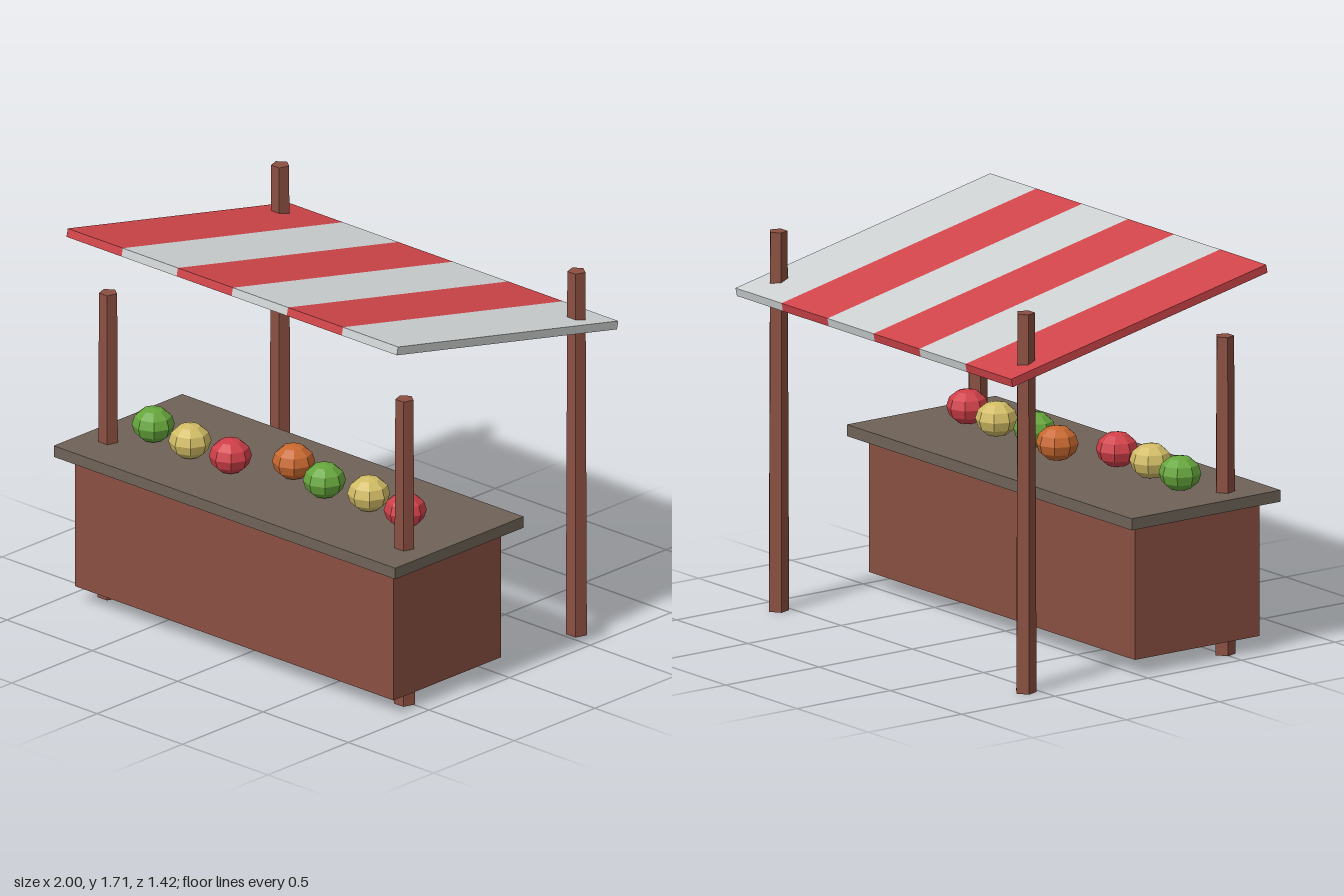
import * as THREE from 'three';

const paint = (name, color) => {
  const m = new THREE.MeshStandardMaterial({ color, flatShading: true });
  m.name = name;
  return m;
};

export function createModel() {
  const wood = paint('brown wood', 0x8a4f41);
  const slate = paint('countertop grey brown', 0x6f6358);
  const clothRed = paint('canopy red', 0xd0454a);
  const clothGrey = paint('canopy pale grey', 0xced2d2);
  const green = paint('fruit green', 0x66a63c);
  const yellow = paint('fruit yellow', 0xd2bc66);
  const red = paint('fruit red', 0xcf3f48);
  const orange = paint('fruit orange', 0xc8682f);

  const model = new THREE.Group();
  model.name = 'marketStall';
  const add = (name, geometry, material, x, y, z, parent = model) => {
    const mesh = new THREE.Mesh(geometry, material);
    mesh.name = name;
    mesh.position.set(x, y, z);
    parent.add(mesh);
    return mesh;
  };

  // Counter body and overhanging top
  add('counterBody', new THREE.BoxGeometry(1.865, 0.595, 0.668), wood, 0, 0.367, 0.314);
  add('countertop', new THREE.BoxGeometry(2, 0.051, 0.797), slate, 0, 0.69, 0.311);

  // Tapered five-sided posts, taller at the back, flat side to the front
  for (const [name, height, z] of [['front', 1.4, 0.51], ['back', 1.67, -0.557]]) {
    for (const side of [1, -1]) {
      const geometry = new THREE.CylinderGeometry(0.041, 0.0475, height, 5);
      const post = add(name + (side > 0 ? 'LeftPost' : 'RightPost'), geometry, wood, side * 0.868, height / 2, z);
      post.rotation.y = Math.PI;
    }
  }

  // Sloping canopy of six stripes
  const canopy = new THREE.Group();
  canopy.name = 'canopy';
  canopy.position.set(0, 1.5475, -0.022);
  canopy.rotation.x = -0.208;
  model.add(canopy);
  const stripe = 0.3225;
  for (let i = 0; i < 6; i++) {
    add('canopyStripe', new THREE.BoxGeometry(stripe, 0.037, 1.396),
      i % 2 ? clothGrey : clothRed, (i - 2.5) * stripe, 0, 0, canopy);
  }

  // Row of slightly flattened fruit: colour and depth of each
  const fruits = [
    [green, 0.373], [yellow, 0.4], [red, 0.403], [orange, 0.265],
    [green, 0.328], [yellow, 0.307], [red, 0.335],
  ];
  const fruitShape = new THREE.SphereGeometry(0.092, 8, 6).scale(1, 0.84, 1);
  fruits.forEach(([material, z], i) =>
    add('fruit', fruitShape, material, -0.735 + 0.24 * i, 0.79, z));

  return model;
}
